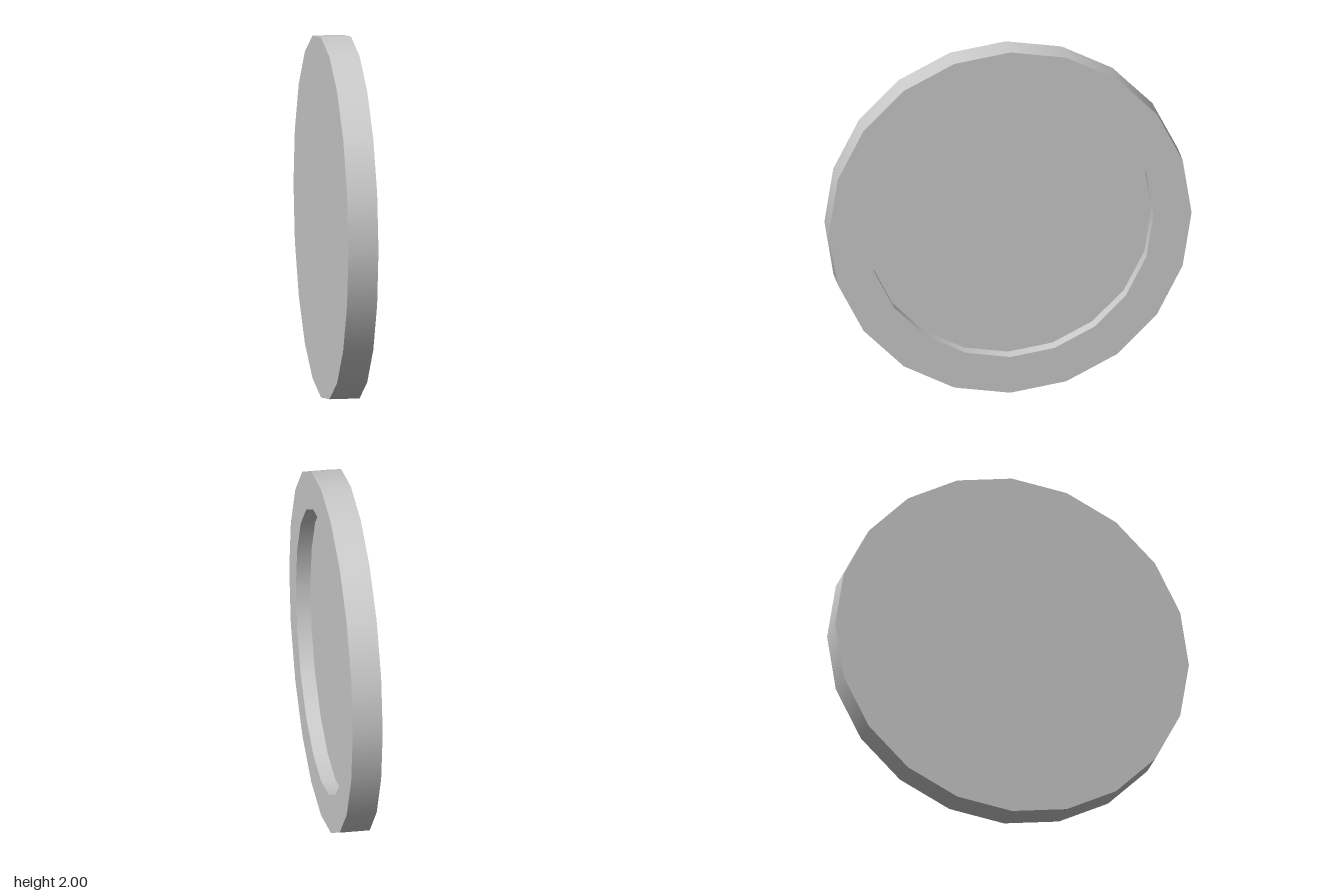
import * as THREE from 'three';

const SIDES = 20;
const RADIUS = 1;
const RECESS_RADIUS = 0.79;
const HALF = 0.083; // half the thickness
const FLOOR = 0.003; // height of the recess floor along the axis

export function createModel() {
  const group = new THREE.Group();
  group.name = 'recessedDisc';
  const material = new THREE.MeshStandardMaterial({ color: 0xcccccc });

  // Profile spans as [radius, height]; separate lathes keep the edges sharp and the walls smooth
  const spans = {
    backFace: [[0, -HALF], [RADIUS, -HALF]],
    outerWall: [[RADIUS, -HALF], [RADIUS, HALF]],
    rimFace: [[RADIUS, HALF], [RECESS_RADIUS, HALF]],
    recessWall: [[RECESS_RADIUS, HALF], [RECESS_RADIUS, FLOOR]],
    recessFloor: [[RECESS_RADIUS, FLOOR], [0, FLOOR]],
  };

  for (const [name, points] of Object.entries(spans)) {
    const profile = points.map(([r, h]) => new THREE.Vector2(r, h));
    const geometry = new THREE.LatheGeometry(profile, SIDES);
    // Stand the disc on edge with the recess facing +x
    geometry.rotateZ(-Math.PI / 2).translate(0, RADIUS, 0);
    const mesh = new THREE.Mesh(geometry, material);
    mesh.name = name;
    group.add(mesh);
  }
  return group;
}
